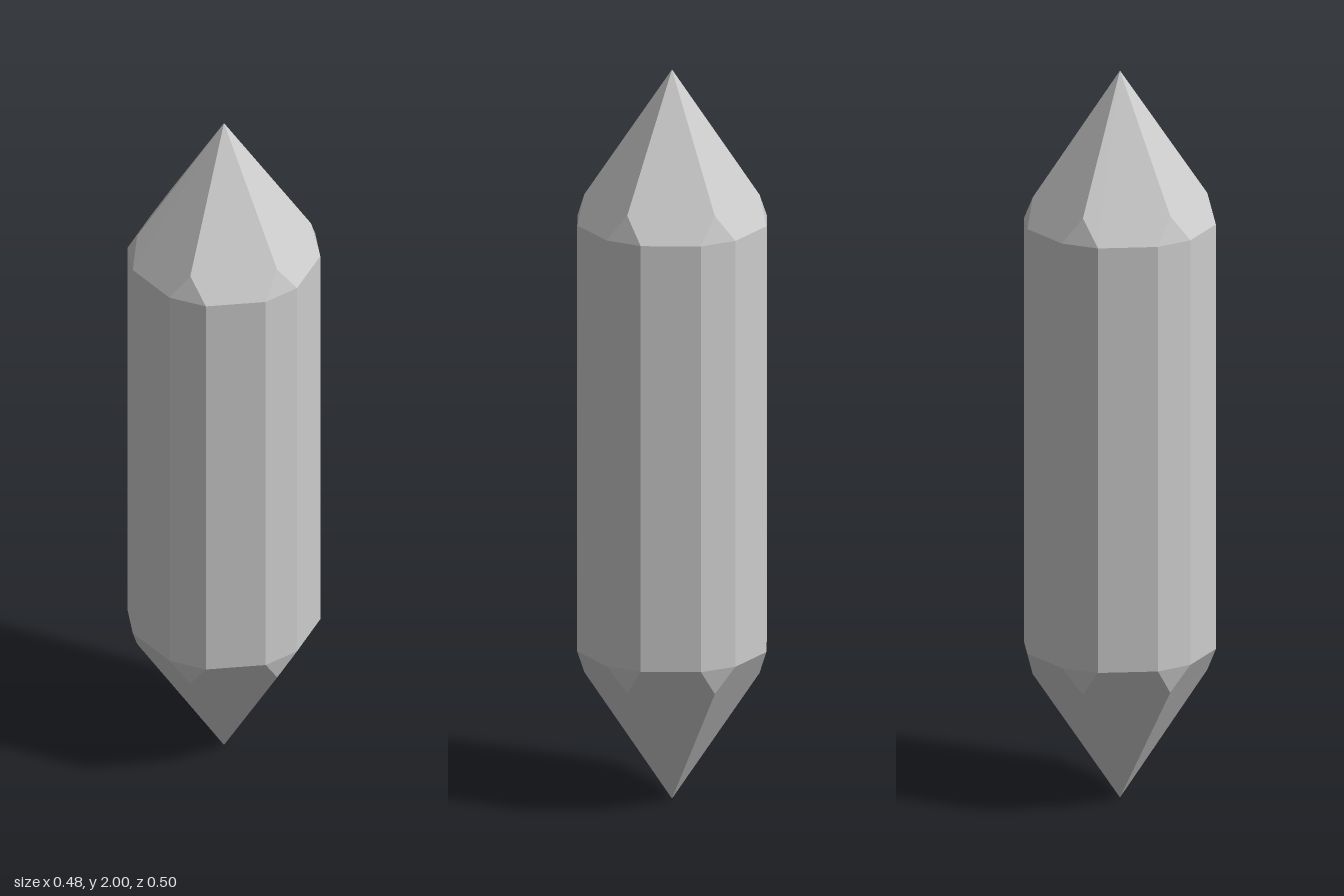
import * as THREE from 'three';

const BELT_R = 0.2535;                            // radius of the twelve shaft edges
const HALF_BEVEL = THREE.MathUtils.degToRad(11.8); // half angle of a narrow corner face
const RIDGE_R = 0.23;                             // where a tip ridge meets its corner facet
const UPPER = { apex: 2, ridge: 1.658, belt: 1.587 };
const LOWER = { apex: 0.005, ridge: 0.35, belt: 0.422 };

const material = new THREE.MeshStandardMaterial({ color: 0xcccccc, flatShading: true });

const polar = (r, angle, y) => new THREE.Vector3(r * Math.sin(angle), y, r * Math.cos(angle));

// Fan-triangulates convex faces into one flat-shaded mesh
function facetMesh(name, faces) {
  const points = [];
  for (const face of faces) {
    for (let i = 1; i < face.length - 1; i++) points.push(face[0], face[i], face[i + 1]);
  }
  const geometry = new THREE.BufferGeometry().setFromPoints(points);
  geometry.computeVertexNormals();
  const mesh = new THREE.Mesh(geometry, material);
  mesh.name = name;
  return mesh;
}

// Six-sided point with a small triangular facet at each corner
function pointFaces({ apex, ridge, belt }, flip) {
  const faces = [];
  const tip = new THREE.Vector3(0, apex, 0);
  for (let k = 0; k < 6; k++) {
    const a = k * Math.PI / 3, b = a + Math.PI / 3;
    const ridgeA = polar(RIDGE_R, a, ridge), ridgeB = polar(RIDGE_R, b, ridge);
    const before = polar(BELT_R, a - HALF_BEVEL, belt);
    const after = polar(BELT_R, a + HALF_BEVEL, belt);
    const next = polar(BELT_R, b - HALF_BEVEL, belt);
    faces.push([tip, ridgeA, after, next, ridgeB], [ridgeA, before, after]);
  }
  return flip ? faces.map((f) => f.reverse()) : faces;
}

// Hexagonal shaft with cut corners: alternating narrow and wide faces
function shaftFaces() {
  const angles = [];
  for (let k = 0; k < 6; k++) angles.push(k * Math.PI / 3 - HALF_BEVEL, k * Math.PI / 3 + HALF_BEVEL);
  return angles.map((a, i) => {
    const b = angles[(i + 1) % angles.length];
    return [polar(BELT_R, a, UPPER.belt), polar(BELT_R, a, LOWER.belt),
      polar(BELT_R, b, LOWER.belt), polar(BELT_R, b, UPPER.belt)];
  });
}

export function createModel() {
  const crystal = new THREE.Group();
  crystal.name = 'crystal';
  crystal.add(
    facetMesh('shaft', shaftFaces()),
    facetMesh('upperPoint', pointFaces(UPPER, false)),
    facetMesh('lowerPoint', pointFaces(LOWER, true)),
  );
  return crystal;
}
